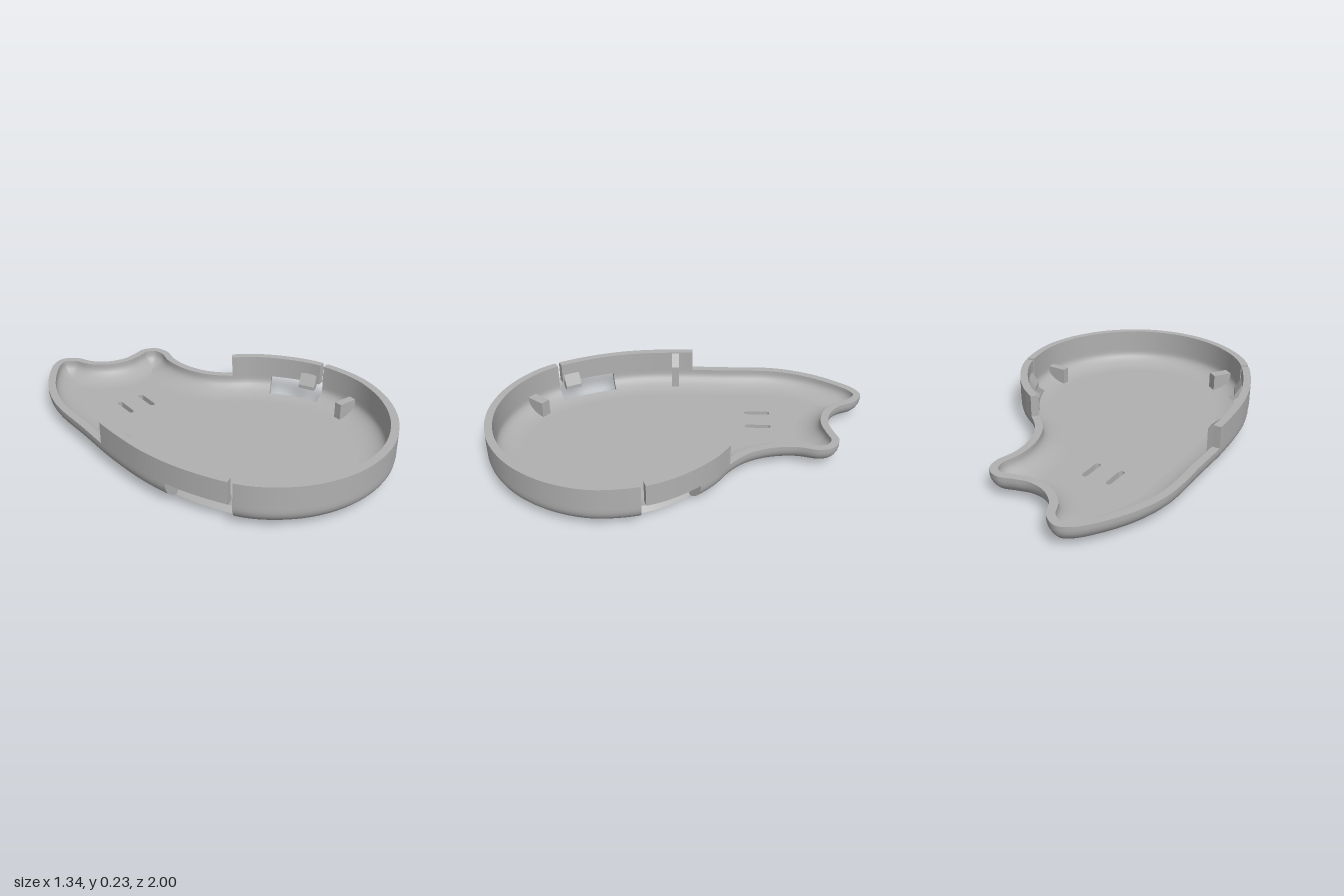
import * as THREE from 'three';
import { toCreasedNormals } from 'three/addons/utils/BufferGeometryUtils.js';

const N = 480;          // samples round the outline
const WALL = 0.04;      // wall thickness
const R = 0.17;         // inset at which the rounded base becomes flat
const FLOOR = 0.03;     // floor thickness
const BEND = 0.1;       // height where the wall starts to curve under
const TOP = 0.235, LOW = 0.12;
const STEPS = 8;

// Outline seen from above (x, z), starting at the tall ear
const OUTLINE = [
  [-0.39, -1], [-0.315, -0.96], [-0.26, -0.865], [-0.18, -0.805], [-0.09, -0.787], [-0.01, -0.805],
  [0.065, -0.825], [0.135, -0.79], [0.158, -0.715], [0.137, -0.6], [0.15, -0.475], [0.2, -0.36],
  [0.285, -0.27], [0.4, -0.19], [0.515, -0.07], [0.61, 0.08], [0.657, 0.24], [0.665, 0.42],
  [0.6, 0.635], [0.465, 0.82], [0.267, 0.95], [0.03, 0.995], [-0.21, 0.945], [-0.42, 0.8],
  [-0.555, 0.58], [-0.64, 0.32], [-0.67, 0.05], [-0.672, -0.24], [-0.67, -0.53], [-0.62, -0.715],
  [-0.54, -0.865], [-0.455, -0.97],
];

// Outline samples with inward normals and the furthest inset before opposite sides meet
function sampleOutline() {
  const curve = new THREE.CatmullRomCurve3(OUTLINE.map(([x, z]) => new THREE.Vector3(x, 0, z)), true);
  curve.arcLengthDivisions = 1500;
  const rim = [];
  for (let i = 0; i < N; i++) {
    const p = curve.getPointAt(i / N), t = curve.getTangentAt(i / N);
    rim.push({ x: p.x, z: p.z, nx: -t.z, nz: t.x, reach: R });
  }
  for (const p of rim) {
    for (let s = 0.01; s <= R; s += 0.005) {
      const x = p.x + p.nx * s, z = p.z + p.nz * s;
      if (rim.some((q) => Math.hypot(q.x - x, q.z - z) < s - 0.003)) { p.reach = s; break; }
    }
  }
  return rim;
}

// Height of the rounded base at inset d, for a curve from inset d0 to R
const baseHeight = (d, d0, y0) => {
  const t = Math.min(1, Math.max(0, (R - d) / (R - d0)));
  return y0 + (BEND - y0) * (1 - Math.sqrt(1 - t * t));
};

function inset(p, d, y, d0, y0) {
  const s = Math.min(d, p.reach);
  return [p.x + p.nx * s, s < d ? baseHeight(s, d0, y0) : y, p.z + p.nz * s];
}

// One cross-section of the shell: [outer, inner] pairs from rim to floor
function section(p) {
  const rows = [TOP, LOW].map((y) => [inset(p, 0, y, 0, 0), inset(p, WALL, y, WALL, FLOOR)]);
  for (let k = 0; k <= STEPS; k++) {
    const a = (k / STEPS) * Math.PI / 2, c = 1 - Math.cos(a);
    const d = R * c, e = WALL + (R - WALL) * c;
    rows.push([inset(p, d, baseHeight(d, 0, 0), 0, 0), inset(p, e, baseHeight(e, WALL, FLOOR), WALL, FLOOR)]);
  }
  return rows;
}

// Which cells of the shell are solid: low rim at the back, two slots with slits
function isSolid(p, k) {
  const within = (a, b) => p.z > a && p.z < b;
  const right = p.x > 0;
  if (k === 0) {
    if (p.z < (right ? -0.26 : -0.04)) return false;
    return !(right ? within(0.13, 0.15) : p.x < -0.3 && within(0.713, 0.735));
  }
  const slot = right ? p.x > 0.3 && within(-0.125, 0.15) : p.x < -0.3 && within(0.43, 0.735);
  return !(slot && k < 7);
}

function shellGeometry(rim) {
  const rows = rim.map(section), last = STEPS + 1, pos = [];
  const quad = (a, b, c, d) => pos.push(...a, ...b, ...c, ...a, ...c, ...d);
  for (let i = 0; i < N; i++) {
    const j = (i + 1) % N, h = (i + N - 1) % N;
    for (let k = 0; k <= last; k++) {
      if (!isSolid(rim[i], k)) continue;
      const [ao, ai] = rows[i][k], [bo, bi] = rows[j][k];
      const [co, ci] = rows[j][k + 1], [d0, di] = rows[i][k + 1];
      quad(ao, bo, co, d0);
      quad(ai, di, ci, bi);
      if (k === 0 || !isSolid(rim[i], k - 1)) quad(ao, ai, bi, bo);
      if (k < last && !isSolid(rim[i], k + 1)) quad(d0, co, ci, di);
      if (!isSolid(rim[h], k)) quad(ao, d0, di, ai);
      if (!isSolid(rim[j], k)) quad(bo, bi, ci, co);
    }
  }
  const g = new THREE.BufferGeometry();
  g.setAttribute('position', new THREE.Float32BufferAttribute(pos, 3));
  return toCreasedNormals(g, 0.6);
}

// Flat floor with two rounded slots cut through
function floorGeometry(rim) {
  const ring = rim.filter((p) => p.reach >= R)
    .map((p) => new THREE.Vector2(p.x + p.nx * R, -(p.z + p.nz * R)));
  const shape = new THREE.Shape(ring);
  for (const x of [-0.315, -0.18]) {
    const hole = new THREE.Path(), r = 0.015;
    hole.absarc(x, 0.475, r, 0, Math.PI);
    hole.absarc(x, 0.365, r, Math.PI, Math.PI * 2);
    hole.closePath();
    shape.holes.push(hole);
  }
  const g = new THREE.ExtrudeGeometry(shape, { depth: FLOOR, bevelEnabled: false, curveSegments: 8 });
  return g.rotateX(-Math.PI / 2);
}

export function createModel() {
  const group = new THREE.Group();
  const grey = new THREE.MeshStandardMaterial({ color: 0xb0b0b0 });
  grey.name = 'plain grey';
  const rim = sampleOutline();

  const add = (name, geometry) => {
    const mesh = new THREE.Mesh(geometry, grey);
    mesh.name = name;
    group.add(mesh);
    return mesh;
  };
  add('shellWall', shellGeometry(rim));
  add('floor', floorGeometry(rim));

  // Small blocks on the inside of the wall; profile is (inset, height)
  const block = (name, x, z, width, profile) => {
    const p = rim.reduce((a, b) => (Math.hypot(b.x - x, b.z - z) < Math.hypot(a.x - x, a.z - z) ? b : a));
    const shape = new THREE.Shape(profile.map(([d, y]) => new THREE.Vector2(d, y)));
    const g = new THREE.ExtrudeGeometry(shape, { depth: width, bevelEnabled: false });
    g.translate(0, 0, -width / 2);
    const mesh = add(name, g);
    mesh.position.set(p.x, 0, p.z);
    mesh.rotation.y = Math.atan2(-p.nz, p.nx);
  };
  const foot = [[0.02, 0.08], [0.06, 0.04], [0.1, 0.02]];
  const rib = [...foot, [0.147, 0.02], [0.147, 0.12], [0.02, 0.12]];
  block('sideRib', 0.665, 0.36, 0.042, rib);
  block('frontRib', -0.33, 0.88, 0.055, rib);
  block('post', -0.67, 0.05, 0.04, [...foot, [0.1, 0.17], [0.04, 0.23], [0.02, 0.23]]);

  // Catches at the free ends of the two sprung wall sections
  const hook = [[0.02, 0.15], [0.02, 0.121], [0.04, 0.09], [0.075, 0.09], [0.075, 0.11], [0.04, 0.17]];
  block('leftCatch', 0.59, 0.07, 0.09, hook);
  block('rightCatch', -0.51, 0.655, 0.09, hook);
  return group;
}
